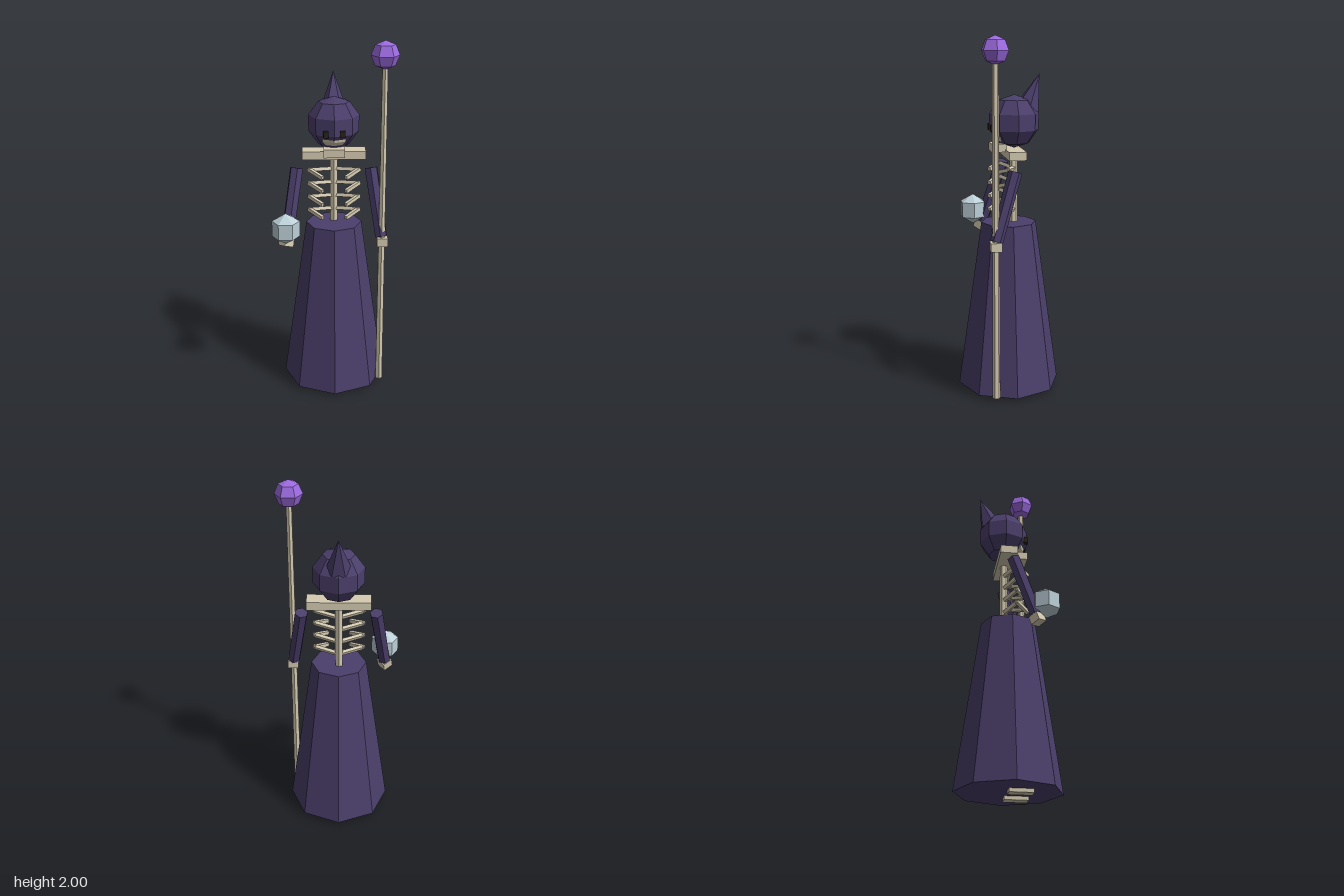
import * as THREE from 'three';

const mat = (name, color) => {
  const m = new THREE.MeshStandardMaterial({ color });
  m.name = name;
  return m;
};

export function createModel() {
  const cloth = mat('purpleCloth', 0x4b3f6b);
  const bone = mat('bone', 0xd6ccb2);
  const dark = mat('eyeDark', 0x2a2418);
  const violet = mat('violetCrystal', 0x9c6be0);
  const pale = mat('paleCrystal', 0xbdd0d8);
  const root = new THREE.Group();
  root.name = 'robedSkeleton';

  // Faceted look: every face gets its own normals
  const add = (name, geo, material, x = 0, y = 0, z = 0, parent = root) => {
    const flat = geo.index ? geo.toNonIndexed() : geo;
    flat.computeVertexNormals();
    const mesh = new THREE.Mesh(flat, material);
    mesh.name = name;
    mesh.position.set(x, y, z);
    parent.add(mesh);
    return mesh;
  };
  const box = (w, h, d) => new THREE.BoxGeometry(w, h, d);
  const up = new THREE.Vector3(0, 1, 0);
  // Rod from point a to point b
  const rod = (name, a, b, ra, rb, sides, material, parent = root) => {
    const va = new THREE.Vector3(...a), vb = new THREE.Vector3(...b);
    const dir = vb.clone().sub(va);
    const geo = new THREE.CylinderGeometry(rb, ra, dir.length(), sides);
    const mesh = add(name, geo, material, 0, 0, 0, parent);
    mesh.position.copy(va).add(vb).multiplyScalar(0.5);
    mesh.quaternion.setFromUnitVectors(up, dir.normalize());
    return mesh;
  };

  // Robe and feet
  add('robe', new THREE.CylinderGeometry(0.155, 0.29, 0.95, 8), cloth, 0, 0.495, 0);
  for (const s of [-1, 1]) add('foot', box(0.066, 0.06, 0.13), bone, s * 0.087, 0.03, 0.05);

  // Spine and shoulder bar
  rod('spine', [0, 0.94, -0.028], [0, 1.36, -0.028], 0.023, 0.023, 6, bone);
  add('shoulderBar', box(0.35, 0.046, 0.097), bone, 0, 1.362, -0.021);

  // Ribs: back and front segment on each side
  const ribs = new THREE.Group();
  ribs.name = 'ribs';
  root.add(ribs);
  for (let i = 0; i < 4; i++) {
    const y = 1.278 - i * 0.077;
    for (const s of [-1, 1]) {
      rod('ribBack', [s * 0.01, y - 0.005, -0.025], [s * 0.138, y + 0.005, 0.03], 0.014, 0.014, 4, bone, ribs);
      rod('ribFront', [s * 0.14, y + 0.007, 0.025], [s * 0.063, y - 0.02, 0.1], 0.014, 0.014, 4, bone, ribs);
    }
  }

  // Hood with swept-back point
  add('hood', new THREE.SphereGeometry(0.146, 8, 5), cloth, 0, 1.533, -0.031);
  const point = new THREE.ConeGeometry(0.07, 0.2, 6).rotateY(Math.PI / 6).translate(0, 0.1, 0);
  add('hoodPoint', point, cloth, 0, 1.602, -0.103).rotation.x = -0.35;

  // Skull, jaw and eyes
  add('skull', new THREE.SphereGeometry(0.1, 8, 6), bone, 0, 1.5, 0);
  add('jaw', box(0.116, 0.045, 0.08), bone, 0, 1.393, 0.062);
  for (const s of [-1, 1]) add('eye', box(0.027, 0.035, 0.03), dark, s * 0.045, 1.5, 0.092);

  // Sleeves and hands
  for (const s of [-1, 1]) {
    const arm = rod('sleeve', [s * 0.205, 1.285, 0], [s * 0.26, 0.92, 0.112], 0.038, 0.036, 6, cloth);
    const hand = add('hand', box(0.06, 0.048, 0.06), bone, s * 0.265, 0.895, 0.117);
    if (s < 0) hand.quaternion.copy(arm.quaternion);
  }

  // Staff with crystal
  rod('staff', [0.262, 0.025, 0.116], [0.262, 1.86, 0.116], 0.022, 0.017, 6, bone);
  add('staffCrystal', new THREE.SphereGeometry(0.076, 6, 4), violet, 0.262, 1.924, 0.117);

  // Orb held by the right hand
  add('orb', new THREE.SphereGeometry(0.088, 6, 3), pale, -0.265, 0.992, 0.166);

  return root;
}
